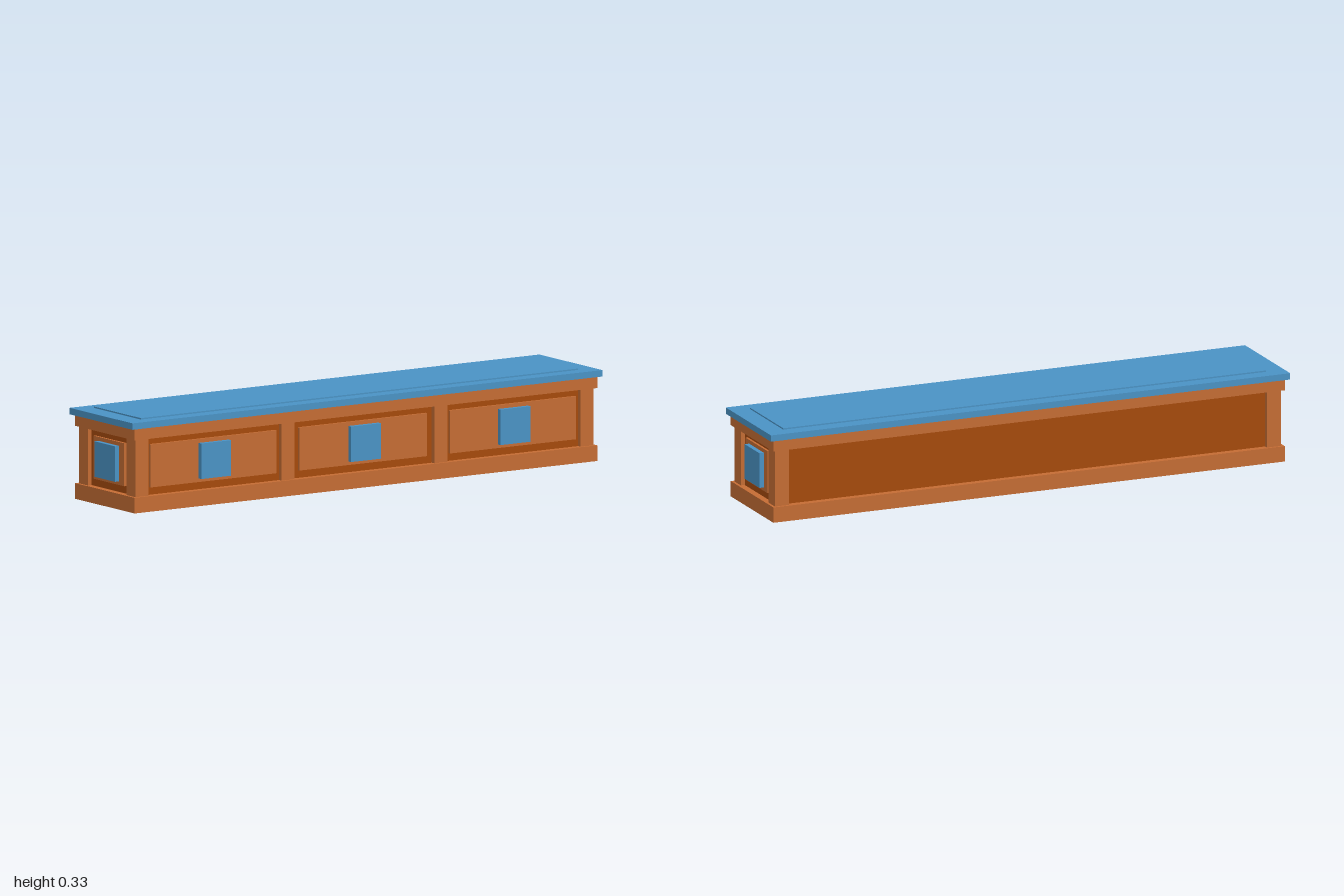
import * as THREE from 'three';

export function createModel() {
  const model = new THREE.Group();
  model.name = 'panelledCounter';

  const mat = (name, color) => {
    const m = new THREE.MeshStandardMaterial({ color });
    m.name = name;
    return m;
  };
  const wood = mat('lightWood', 0xc46c34);
  const darkWood = mat('darkWood', 0xa54a0c);
  const blue = mat('bluePaint', 0x4a92c4);

  // Box given by its lower and upper limits on each axis
  const box = (name, material, [x0, x1], [y0, y1], [z0, z1], parent = model) => {
    const mesh = new THREE.Mesh(new THREE.BoxGeometry(x1 - x0, y1 - y0, z1 - z0), material);
    mesh.name = name;
    mesh.position.set((x0 + x1) / 2, (y0 + y1) / 2, (z0 + z1) / 2);
    parent.add(mesh);
    return mesh;
  };

  // Everything under the lid sits a hair forward of centre
  const body = new THREE.Group();
  body.name = 'body';
  body.position.z = 0.0015;
  model.add(body);

  // Hollow rectangular frame of four boards
  const frame = (name, [y0, y1]) => {
    const g = new THREE.Group();
    g.name = name;
    const X = 0.985, Z = 0.187, t = 0.025;
    for (const s of [-1, 1]) {
      const zs = s > 0 ? [Z - t, Z] : [-Z, t - Z];
      const xs = s > 0 ? [X - t, X] : [-X, t - X];
      box(name + 'LongBoard', wood, [-X, X], [y0, y1], zs, g);
      box(name + 'EndBoard', wood, xs, [y0, y1], [t - Z, Z - t], g);
    }
    body.add(g);
  };
  frame('baseSkirt', [0.002, 0.058]);
  frame('topRail', [0.263, 0.304]);

  // Recessed dark wall panels
  const wallY = [0, 0.3];
  box('frontWall', darkWood, [-0.96, 0.96], wallY, [0.15, 0.161], body);
  box('backWall', darkWood, [-0.96, 0.96], wallY, [-0.161, -0.15], body);
  for (const s of [-1, 1]) {
    box('endWall', darkWood, s > 0 ? [0.948, 0.959] : [-0.959, -0.948], wallY, [-0.15, 0.15], body);
  }

  // Floor set up inside the skirt
  box('floor', wood, [-0.948, 0.948], [0.05, 0.06], [-0.15, 0.15], body);

  // Corner posts, and two middle posts on the front only
  const postY = [0.001, 0.3];
  for (const s of [-1, 1]) {
    const cx = s * 0.9475;
    for (const z of [[0.1215, 0.1775], [-0.1775, -0.1215]]) {
      box('cornerPost', wood, [cx - 0.0275, cx + 0.0275], postY, z, body);
    }
    box('frontMiddlePost', wood, [s * 0.325 - 0.0275, s * 0.325 + 0.0275], postY, [0.1215, 0.1775], body);
  }

  // Three raised front panels with blue plates
  for (const x of [-0.637, 0, 0.637]) {
    const half = x === 0 ? 0.272 : 0.268;
    box('frontRaisedPanel', wood, [x - half, x + half], [0.085, 0.239], [0.158, 0.17], body);
    box('frontPlate', blue, [x - 0.0635, x + 0.0635], [0.098, 0.225], [0.165, 0.187], body);
  }

  // Raised end panels with blue plates
  for (const s of [-1, 1]) {
    const side = (a, b) => (s > 0 ? [a, b] : [-b, -a]);
    box('endRaisedPanel', wood, side(0.955, 0.968), [0.085, 0.239], [-0.097, 0.097], body);
    box('endPlate', blue, side(0.962, 0.985), [0.098, 0.225], [-0.0645, 0.0645], body);
  }

  // Lid with a thin raised field
  box('lid', blue, [-1, 1], [0.304, 0.327], [-0.198, 0.198]);
  box('lidField', blue, [-0.93, 0.93], [0.325, 0.332], [-0.147, 0.147]);

  return model;
}
